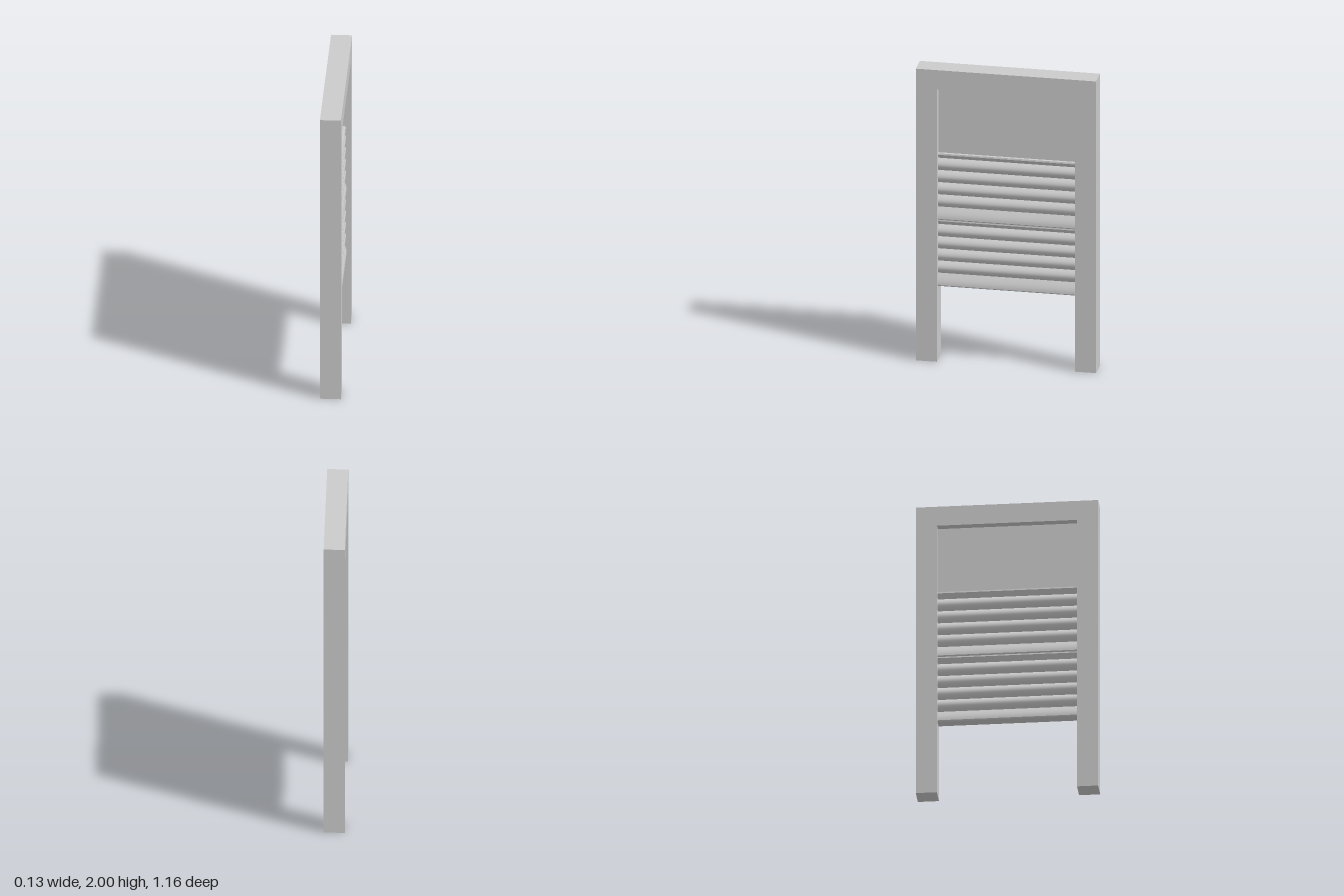
import * as THREE from 'three';
import { toCreasedNormals } from 'three/addons/utils/BufferGeometryUtils.js';

const HALF_DEPTH = 0.067;   // half thickness of the frame
const INNER = 0.447;        // half width of the opening
const OUTER = 0.582;
const OPENING_TOP = 1.867;

export function createModel() {
  const group = new THREE.Group();
  const material = new THREE.MeshStandardMaterial({ color: 0xcccccc });

  const add = (name, geometry) => {
    const mesh = new THREE.Mesh(geometry, material);
    mesh.name = name;
    group.add(mesh);
  };

  // Door frame: an upside-down U, extruded through its thickness
  const outline = [
    [-OUTER, 0], [-INNER, 0], [-INNER, OPENING_TOP], [INNER, OPENING_TOP],
    [INNER, 0], [OUTER, 0], [OUTER, 2], [-OUTER, 2],
  ].map(([z, y]) => new THREE.Vector2(z, y));
  const frame = new THREE.ExtrudeGeometry(new THREE.Shape(outline), {
    depth: 2 * HALF_DEPTH, bevelEnabled: false,
  });
  frame.translate(0, 0, -HALF_DEPTH).rotateY(-Math.PI / 2);
  add('doorFrame', frame);

  // Flat panel filling the top of the opening
  const panel = new THREE.BoxGeometry(0.03, OPENING_TOP - 1.41, 2 * INNER);
  panel.translate(0, (OPENING_TOP + 1.41) / 2, 0);
  add('upperPanel', panel);

  // Half profile of one shutter section, from top to bottom
  const valley = 0.009, bulge = 0.028, pitch = 0.0835;
  const sectionProfile = (top) => {
    const points = [[0.034, top], [0.036, top - 0.01], [valley, top - 0.04]];
    let y = top - 0.04;
    // four rounded ribs with sharp valleys
    for (let rib = 0; rib < 4; rib++) {
      for (let i = 1; i <= 8; i++) {
        const t = i / 8;
        points.push([valley + bulge * 4 * t * (1 - t), y - pitch * t]);
      }
      y -= pitch;
    }
    // flared bottom rib with a small rolled lip
    const lipY = top - 0.447;
    for (let i = 1; i <= 6; i++) {
      const t = i / 6;
      points.push([valley + 0.032 * Math.sin(t * Math.PI / 2), y + (lipY - y) * t]);
    }
    points.push([0.037, top - 0.453], [0.034, top - 0.455]);
    return points;
  };

  // Two identical sections, ribbed on both faces
  [['upperShutter', 1.417], ['lowerShutter', 0.963]].forEach(([name, top]) => {
    const half = sectionProfile(top);
    const ring = [
      ...half.map(([x, y]) => new THREE.Vector2(x, y)),
      ...half.slice().reverse().map(([x, y]) => new THREE.Vector2(-x, y)),
    ];
    const shutter = new THREE.ExtrudeGeometry(new THREE.Shape(ring), {
      depth: 2 * INNER, bevelEnabled: false,
    });
    shutter.translate(0, 0, -INNER);
    add(name, toCreasedNormals(shutter, 0.5));
  });

  return group;
}
